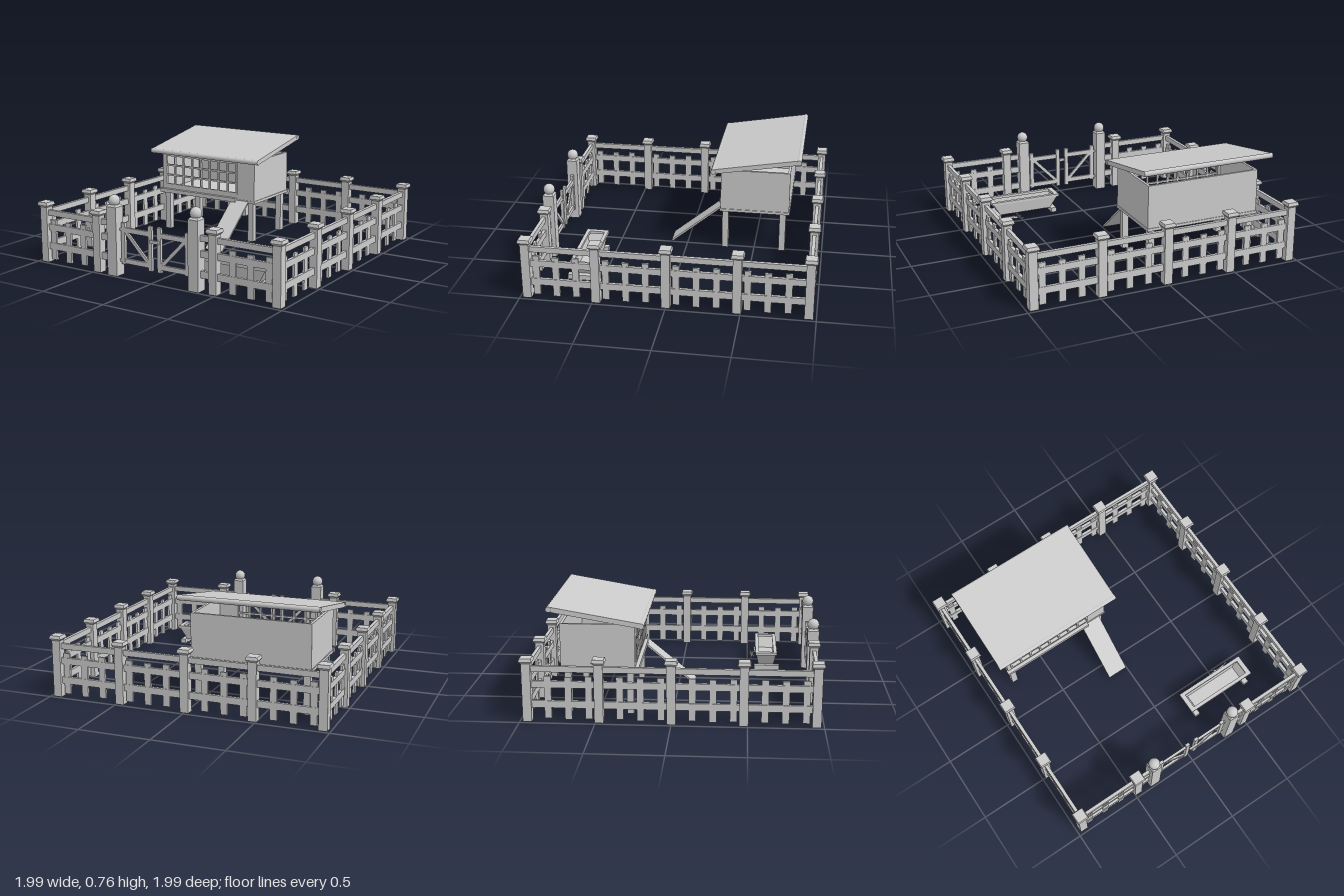
import * as THREE from 'three';

const mat = new THREE.MeshStandardMaterial({ color: 0xcccccc, side: THREE.DoubleSide, flatShading: true });
const smooth = new THREE.MeshStandardMaterial({ color: 0xcccccc });

function add(parent, name, geo, x = 0, y = 0, z = 0, material = mat) {
  const m = new THREE.Mesh(geo, material);
  m.name = name;
  m.position.set(x, y, z);
  parent.add(m);
  return m;
}
const box = (parent, name, w, h, d, x, y, z) => add(parent, name, new THREE.BoxGeometry(w, h, d), x, y, z);

function group(parent, name, x = 0, y = 0, z = 0) {
  const g = new THREE.Group();
  g.name = name;
  g.position.set(x, y, z);
  parent.add(g);
  return g;
}

// Square frustum with full top and bottom widths
function frustum(top, bottom, h, open = false) {
  return new THREE.CylinderGeometry(top / Math.SQRT2, bottom / Math.SQRT2, h, 4, 1, open).rotateY(Math.PI / 4);
}

// Fence post with a flared, bevelled cap
function post(parent, x, z) {
  const g = group(parent, 'fencePost', x, 0, z);
  box(g, 'postShaft', 0.06, 0.4, 0.06, 0, 0.21, 0);
  add(g, 'capNeck', frustum(0.086, 0.064, 0.014), 0, 0.417, 0);
  add(g, 'capTop', frustum(0.076, 0.088, 0.022), 0, 0.435, 0);
}

// Fence panel along local x, centred on its span
function panel(parent, length, x, z, angle, flip = 1, pickets = [0.17, 0.035, -0.1]) {
  const g = group(parent, 'fencePanel', x, 0, z);
  g.rotation.y = angle;
  box(g, 'topRail', length, 0.04, 0.024, 0, 0.37, 0);
  box(g, 'middleRail', length, 0.046, 0.022, 0, 0.265, 0);
  box(g, 'lowerRail', length, 0.048, 0.022, 0, 0.128, 0);
  pickets.forEach((p, i) =>
    box(g, 'picket', 0.047, 0.29, 0.016, p * flip, 0.175 - 0.006 * (i % 2), 0));
}

function buildFence(root) {
  const fence = group(root, 'fence');
  const stops = [-0.95, -0.475, 0, 0.475, 0.95];
  for (const s of stops) {
    post(fence, -0.95, s);
    post(fence, 0.95, s);
    if (Math.abs(s) < 0.9) post(fence, s, -0.95);
  }
  post(fence, -0.475, 0.95);
  post(fence, 0.475, 0.95);
  for (let i = 0; i < 4; i++) {
    const mid = (stops[i] + stops[i + 1]) / 2;
    panel(fence, 0.475, -0.95, mid, Math.PI / 2, -1);
    panel(fence, 0.475, 0.95, mid, Math.PI / 2, -1);
    panel(fence, 0.475, mid, -0.95, 0, Math.sign(mid));
  }
  for (const s of [-1, 1]) {
    panel(fence, 0.475, s * 0.7125, 0.95, 0, s);
    panel(fence, 0.145, s * 0.4, 0.95, 0, 1, []);
  }
}

// Gate posts with ball finials, and two braced leaves
function buildGate(root) {
  const gate = group(root, 'gate');
  for (const s of [-1, 1]) {
    box(gate, 'gatePost', 0.08, 0.48, 0.08, s * 0.333, 0.25, 0.95);
    add(gate, 'gatePostShoulder', frustum(0.055, 0.08, 0.015), s * 0.333, 0.497, 0.95);
    add(gate, 'ballFinial', new THREE.SphereGeometry(0.041, 16, 12), s * 0.333, 0.53, 0.95, smooth);

    const leaf = group(gate, 'gateLeaf', 0, 0, 0.945);
    box(leaf, 'outerStile', 0.03, 0.29, 0.022, s * 0.262, 0.24, 0);
    box(leaf, 'innerStile', 0.03, 0.31, 0.022, s * 0.037, 0.235, 0);
    box(leaf, 'gateTopRail', 0.24, 0.034, 0.018, s * 0.15, 0.335, 0);
    box(leaf, 'gateLowerRail', 0.24, 0.034, 0.018, s * 0.15, 0.118, 0);
    const brace = box(leaf, 'brace', 0.285, 0.024, 0.014, s * 0.15, 0.227, 0);
    brace.rotation.z = s * 0.8;
    for (const y of [0.335, 0.118]) box(leaf, 'hinge', 0.04, 0.018, 0.014, s * 0.285, y, 0);
  }
  box(gate, 'latch', 0.07, 0.022, 0.016, 0.01, 0.29, 0.965);
}

function buildCoop(root) {
  const coop = group(root, 'coop');
  const [x0, x1, z0, z1, y0, y1] = [-0.8, 0.045, -0.75, -0.25, 0.32, 0.635];
  const cx = (x0 + x1) / 2, cz = (z0 + z1) / 2, w = x1 - x0, d = z1 - z0;
  const cy = (y0 + y1) / 2, h = y1 - y0;
  box(coop, 'floor', w + 0.01, 0.02, d + 0.01, cx, y0, cz);
  box(coop, 'backWall', w, h, 0.018, cx, cy, z0 + 0.009);
  box(coop, 'sideWall', 0.018, h, d, x0 + 0.009, cy, cz);
  box(coop, 'sideWall', 0.018, h, d, x1 - 0.009, cy, cz);

  // Front wall with a window opening
  const [a, b, lo, hi] = [-0.765, -0.11, 0.375, 0.61];
  const wall = new THREE.Shape([[x0, y0], [x1, y0], [x1, y1], [x0, y1]].map(p => new THREE.Vector2(...p)));
  wall.holes.push(new THREE.Path([[a, lo], [a, hi], [b, hi], [b, lo]].map(p => new THREE.Vector2(...p))));
  add(coop, 'frontWall', new THREE.ExtrudeGeometry(wall, { depth: 0.02, bevelEnabled: false }), 0, 0, z1 - 0.02);

  // Window grid
  const wm = (a + b) / 2, hm = (lo + hi) / 2;
  for (let i = 0; i <= 8; i++)
    box(coop, 'windowBar', 0.013, hi - lo + 0.01, 0.016, a + (b - a) * i / 8, hm, z1);
  for (let i = 0; i <= 3; i++)
    box(coop, 'windowBar', b - a + 0.01, 0.013, 0.016, wm, lo + (hi - lo) * i / 3, z1);
  box(coop, 'sill', 0.7, 0.03, 0.03, -0.46, y0 + 0.005, z1 + 0.01);

  for (const x of [-0.765, 0.005])
    for (const z of [-0.705, -0.285]) box(coop, 'leg', 0.046, 0.31, 0.046, x, 0.165, z);

  // Sloping roof with rounded front and back edges
  const roof = group(coop, 'roof', -0.38, 0.695, -0.505);
  roof.rotation.x = Math.atan2(0.105, 0.61);
  box(roof, 'roofBoard', 0.975, 0.034, 0.615, 0, 0, 0);
  for (const z of [-0.308, 0.308])
    add(roof, 'roofEdge', new THREE.CylinderGeometry(0.019, 0.019, 0.98, 12).rotateZ(Math.PI / 2), 0, 0, z, smooth);

  // Entry ramp
  const ramp = box(coop, 'ramp', 0.15, 0.012, 0.48, -0.08, 0.17, -0.068);
  ramp.rotation.x = Math.atan2(0.31, 0.375);
}

// Open feeding trough on two feet, with loose straw behind
function buildTrough(root) {
  const t = group(root, 'trough', 0.452, 0, 0.64);
  const body = add(t, 'troughWalls', frustum(1, 0.78, 0.1, true), 0, 0.1, 0);
  body.scale.set(0.53, 1, 0.15);
  box(t, 'troughBottom', 0.415, 0.012, 0.117, 0, 0.053, 0);
  for (const s of [-1, 1]) {
    box(t, 'troughRim', 0.545, 0.02, 0.026, 0, 0.148, s * 0.068);
    box(t, 'troughRim', 0.034, 0.02, 0.15, s * 0.255, 0.148, 0);
    box(t, 'troughFoot', 0.04, 0.036, 0.19, s * 0.225, 0.034, 0.005);
  }
  const straw = group(root, 'straw', 0.57, 0.03, 0.535);
  for (let i = 0; i < 7; i++) {
    const s = box(straw, 'strawStalk', 0.09, 0.006, 0.008, (i - 3) * 0.014, (i % 3) * 0.006 - 0.005, (i % 2) * 0.012 - 0.006);
    s.rotation.set(0, Math.sin(i * 2.3) * 0.35, Math.cos(i * 1.7) * 0.2);
  }
}

export function createModel() {
  const root = new THREE.Group();
  root.name = 'chickenYard';
  buildFence(root);
  buildGate(root);
  buildCoop(root);
  buildTrough(root);
  return root;
}
